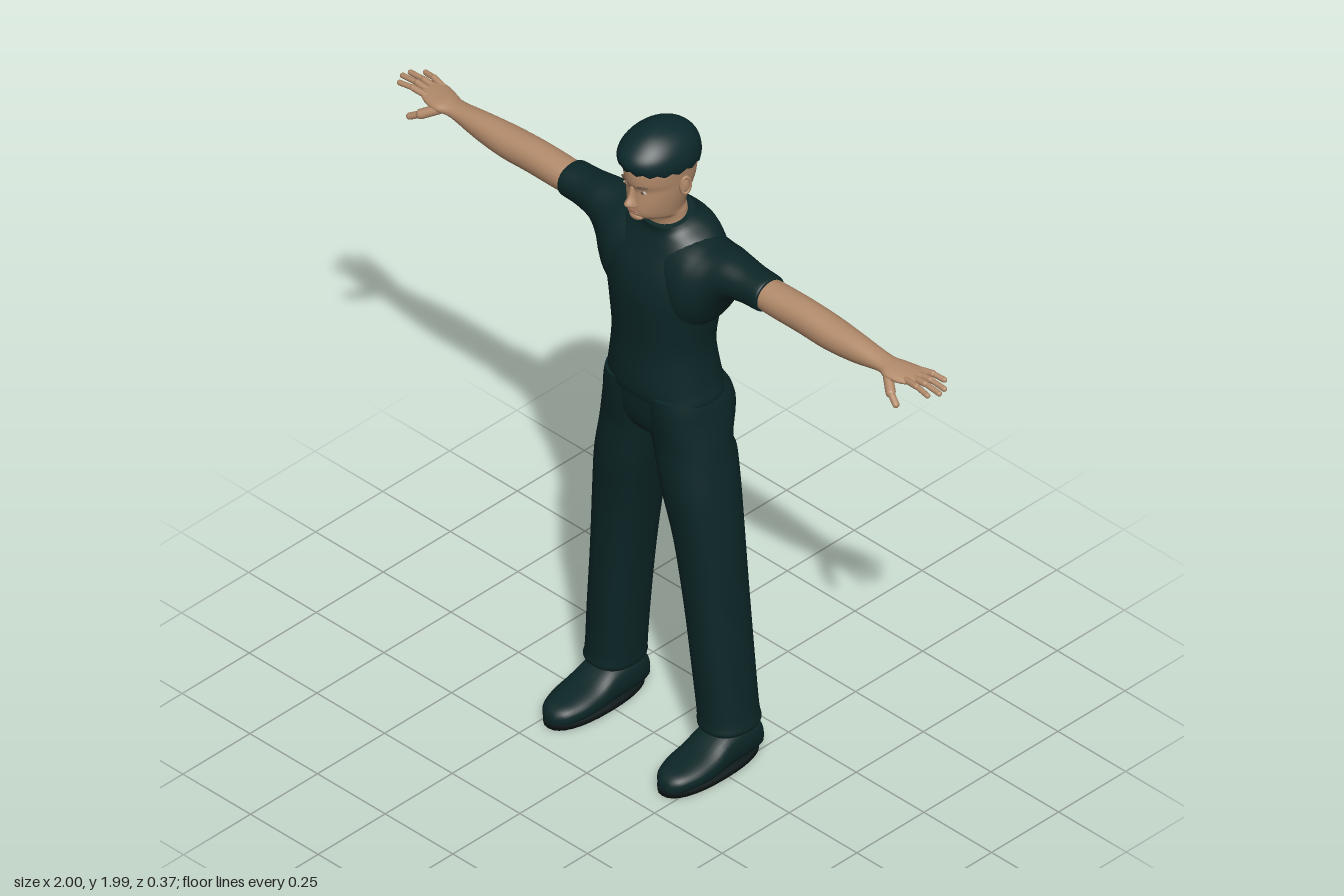
import * as THREE from 'three';

const mat = (name, color) => {
  const m = new THREE.MeshStandardMaterial({ color });
  m.name = name;
  return m;
};

// Smooth loft through sections [t, aMin, aMax, bMin, bMax].
// axis 'y': a = x, b = z; axis 'x': a = z, b = y; axis 'z': a = y, b = x
function loft(axis, sections, { power = 2, sides = 32, steps = 4, deform } = {}) {
  const rows = [];
  const n = sections.length - 1;
  const at = i => sections[Math.max(0, Math.min(n, i))];
  for (let i = 0; i < n; i++) {
    for (let k = 0; k < steps; k++) {
      const u = k / steps;
      rows.push(at(i).map((p1, c) => {
        const p0 = at(i - 1)[c], p2 = at(i + 1)[c], p3 = at(i + 2)[c];
        return p1 + 0.5 * u * (p2 - p0 + u * (2 * p0 - 5 * p1 + 4 * p2 - p3 + u * (3 * (p1 - p2) + p3 - p0)));
      }));
    }
  }
  rows.push(sections[n]);
  const pos = [], index = [];
  const put = (t, a, b, angle) => {
    const v = axis === 'y' ? new THREE.Vector3(a, t, b)
      : axis === 'x' ? new THREE.Vector3(t, b, a) : new THREE.Vector3(b, a, t);
    if (deform) deform(v, angle);
    pos.push(v.x, v.y, v.z);
  };
  const round = c => Math.sign(c) * Math.abs(c) ** (2 / power);
  for (const [t, a0, a1, b0, b1] of rows) {
    for (let j = 0; j < sides; j++) {
      const w = j / sides * Math.PI * 2;
      put(t, (a0 + a1) / 2 + (a1 - a0) / 2 * round(Math.sin(w)),
        (b0 + b1) / 2 + (b1 - b0) / 2 * round(Math.cos(w)), w);
    }
  }
  for (let i = 0; i < rows.length - 1; i++) {
    for (let j = 0; j < sides; j++) {
      const p = i * sides + j, q = i * sides + (j + 1) % sides;
      index.push(p, q, q + sides, p, q + sides, p + sides);
    }
  }
  // End caps
  [0, rows.length - 1].forEach((r, end) => {
    const [t, a0, a1, b0, b1] = rows[r];
    const c = pos.length / 3;
    put(t, (a0 + a1) / 2, (b0 + b1) / 2, 0);
    for (let j = 0; j < sides; j++) {
      const p = r * sides + j, q = r * sides + (j + 1) % sides;
      if (end) index.push(c, p, q); else index.push(c, q, p);
    }
  });
  const g = new THREE.BufferGeometry();
  g.setAttribute('position', new THREE.Float32BufferAttribute(pos, 3));
  g.setIndex(index);
  g.computeVertexNormals();
  return g;
}

// Capsule between two points
function capsule(from, to, radius) {
  const a = new THREE.Vector3(...from), d = new THREE.Vector3(...to).sub(a);
  const g = new THREE.CapsuleGeometry(radius, d.length(), 4, 10);
  g.applyQuaternion(new THREE.Quaternion().setFromUnitVectors(new THREE.Vector3(0, 1, 0), d.clone().normalize()));
  return g.translate(...a.addScaledVector(d, 0.5).toArray());
}

const ball = (x, y, z, rx, ry, rz) => new THREE.SphereGeometry(1, 16, 12).scale(rx, ry, rz).translate(x, y, z);

function mirror(geometry) {
  const g = geometry.clone().scale(-1, 1, 1);
  const ix = g.index.array;
  for (let i = 0; i < ix.length; i += 3) [ix[i], ix[i + 1]] = [ix[i + 1], ix[i]];
  return g;
}

export function createModel() {
  const model = new THREE.Group();
  model.name = 'figure';
  const cloth = mat('darkTealCloth', 0x0c2627);
  const hairMat = mat('darkTealHair', 0x0d2a2c);
  const soleMat = mat('blackSole', 0x0a1617);
  const skin = mat('skin', 0xb38b6b);
  const lipMat = mat('lips', 0x956a55);
  const eyeMat = mat('eyeWhite', 0xb9aa9c);
  const browMat = mat('brow', 0x5a4435);

  const add = (name, geometry, material) => {
    const m = new THREE.Mesh(geometry, material);
    m.name = name;
    model.add(m);
  };
  const addPair = (name, geometry, material) => {
    add(name + 'Left', geometry, material);
    add(name + 'Right', mirror(geometry), material);
  };
  // Left-right symmetric sections [y, halfWidth, back, front]
  const sym = list => list.map(([y, w, back, front]) => [y, -w, w, back, front]);

  // Shirt body, neckline lower at the front
  add('shirt', loft('y', sym([
    [1.145, 0.166, -0.16, 0.072], [1.155, 0.169, -0.172, 0.08], [1.2, 0.158, -0.165, 0.083],
    [1.3, 0.147, -0.152, 0.077], [1.4, 0.158, -0.162, 0.08], [1.48, 0.172, -0.172, 0.08],
    [1.55, 0.178, -0.176, 0.065], [1.61, 0.168, -0.174, 0.036], [1.65, 0.135, -0.162, 0.02],
    [1.675, 0.092, -0.13, 0.016], [1.695, 0.074, -0.112, 0.018],
  ]), {
    power: 2.3, sides: 48,
    deform: v => { v.y -= (v.z + 0.05) * 0.22 * THREE.MathUtils.smoothstep(v.y, 1.62, 1.69); },
  }), cloth);

  // Shoulders and short sleeves
  addPair('sleeve', loft('x', [
    [0.05, -0.16, 0.05, 1.36, 1.66], [0.12, -0.172, 0.055, 1.375, 1.655], [0.165, -0.165, 0.04, 1.41, 1.65],
    [0.2, -0.15, 0.018, 1.47, 1.652], [0.24, -0.132, 0.004, 1.525, 1.652], [0.3, -0.122, -0.006, 1.542, 1.645],
    [0.36, -0.118, -0.008, 1.546, 1.643], [0.367, -0.112, -0.014, 1.552, 1.637],
  ], { power: 2.2 }), cloth);

  // Trousers
  add('pelvis', loft('y', sym([
    [0.99, 0.04, -0.09, 0.0], [1.02, 0.11, -0.12, 0.045], [1.08, 0.165, -0.145, 0.067], [1.17, 0.16, -0.155, 0.076],
  ]), { power: 2.3 }), cloth);
  addPair('trouserLeg', loft('y', [
    [0.108, 0.145, 0.272, -0.14, 0.005], [0.122, 0.135, 0.286, -0.155, 0.018], [0.16, 0.132, 0.28, -0.152, 0.016],
    [0.3, 0.118, 0.268, -0.15, 0.022], [0.5, 0.095, 0.25, -0.15, 0.03], [0.7, 0.062, 0.236, -0.15, 0.04],
    [0.85, 0.028, 0.219, -0.158, 0.055], [0.95, 0.004, 0.203, -0.162, 0.056], [1.0, -0.008, 0.195, -0.153, 0.056],
    [1.08, -0.015, 0.18, -0.182, 0.067], [1.13, -0.015, 0.171, -0.176, 0.072], [1.17, -0.015, 0.158, -0.155, 0.074],
  ], { power: 2.3 }), cloth);

  // Shoes and soles
  addPair('shoe', loft('z', [
    [-0.158, 0.01, 0.05, 0.185, 0.235], [-0.148, 0.006, 0.1, 0.16, 0.26], [-0.1, 0.004, 0.125, 0.147, 0.27],
    [-0.02, 0.004, 0.115, 0.145, 0.274], [0.04, 0.004, 0.085, 0.144, 0.278], [0.1, 0.004, 0.07, 0.147, 0.275],
    [0.15, 0.004, 0.06, 0.163, 0.26], [0.172, 0.006, 0.046, 0.185, 0.24], [0.179, 0.01, 0.03, 0.2, 0.225],
  ], { power: 2.6, sides: 28 }), cloth);
  addPair('sole', loft('y', [
    [0, 0.145, 0.277, -0.162, 0.182], [0.018, 0.143, 0.279, -0.162, 0.183],
  ], { power: 2.3, steps: 1 }), soleMat);

  // Arms, tapering into flat palms
  addPair('arm', loft('x', [
    [0.33, -0.108, -0.016, 1.553, 1.635], [0.4, -0.112, -0.015, 1.548, 1.637], [0.5, -0.112, -0.018, 1.545, 1.638],
    [0.6, -0.112, -0.018, 1.543, 1.632], [0.7, -0.102, -0.025, 1.552, 1.626], [0.79, -0.095, -0.032, 1.572, 1.614],
    [0.83, -0.105, -0.02, 1.576, 1.612], [0.87, -0.116, -0.025, 1.579, 1.609], [0.9, -0.114, -0.038, 1.585, 1.607],
    [0.91, -0.105, -0.045, 1.59, 1.604],
  ], { power: 2.1, sides: 24 }), skin);

  // Fingers as [z at knuckle, z at tip, tip x], then the thumb
  [[-0.046, -0.036, 0.975], [-0.066, -0.064, 0.991], [-0.086, -0.088, 0.986], [-0.105, -0.116, 0.958]]
    .forEach(([z0, z1, x], i) => {
      const mid = [(0.885 + x) / 2, 1.602, (z0 + z1) / 2];
      addPair(`finger${i + 1}Base`, capsule([0.885, 1.597, z0], mid, 0.0095), skin);
      addPair(`finger${i + 1}Tip`, capsule(mid, [x, 1.598, z1], 0.0078), skin);
    });
  addPair('thumbBase', capsule([0.83, 1.588, -0.035], [0.868, 1.567, -0.007], 0.014), skin);
  addPair('thumbTip', capsule([0.868, 1.567, -0.007], [0.898, 1.55, 0.004], 0.01), skin);

  // Neck and head
  add('head', loft('y', sym([
    [1.63, 0.08, -0.11, 0.0], [1.68, 0.064, -0.102, 0.008], [1.712, 0.06, -0.1, 0.022], [1.724, 0.06, -0.1, 0.06],
    [1.74, 0.063, -0.104, 0.077], [1.765, 0.068, -0.115, 0.081], [1.8, 0.074, -0.13, 0.08],
    [1.825, 0.077, -0.136, 0.08], [1.85, 0.079, -0.138, 0.089], [1.9, 0.08, -0.135, 0.086], [1.95, 0.055, -0.09, 0.05],
  ]), {
    sides: 40,
    // Narrow the face toward the chin
    deform: v => { if (v.z > 0 && v.y > 1.715) v.x *= 1 - 1.6 * v.z * (1 - THREE.MathUtils.smoothstep(v.y, 1.72, 1.8)); },
  }), skin);
  add('nose', loft('y', sym([
    [1.77, 0.008, 0.065, 0.085], [1.775, 0.017, 0.06, 0.1], [1.784, 0.015, 0.06, 0.107],
    [1.805, 0.009, 0.06, 0.094], [1.835, 0.008, 0.06, 0.085],
  ]), { sides: 16 }), skin);
  add('upperLip', ball(0, 1.757, 0.08, 0.022, 0.004, 0.006), lipMat);
  add('lowerLip', ball(0, 1.75, 0.079, 0.019, 0.004, 0.006), lipMat);
  add('chin', ball(0, 1.733, 0.063, 0.024, 0.014, 0.017), skin);
  addPair('eye', ball(0.031, 1.823, 0.071, 0.012, 0.005, 0.004), eyeMat);
  addPair('iris', ball(0.031, 1.823, 0.0737, 0.0045, 0.0045, 0.003), browMat);
  addPair('brow', ball(0, 0, 0, 0.017, 0.003, 0.004).rotateY(0.4).translate(0.033, 1.842, 0.077), browMat);

  // Ears with a raised rim
  addPair('ear', ball(0, 0, 0, 0.008, 0.028, 0.016).rotateY(-0.3).translate(0.083, 1.822, -0.03), skin);
  addPair('earRim', new THREE.TorusGeometry(0.017, 0.004, 8, 20).scale(0.85, 1.5, 1)
    .rotateY(Math.PI / 2 - 0.35).translate(0.087, 1.823, -0.031), skin);

  // Cropped hair, lower at the back, with a ragged edge
  add('hair', loft('y', sym([
    [1.872, 0.082, -0.138, 0.09], [1.876, 0.088, -0.144, 0.1], [1.9, 0.092, -0.146, 0.107],
    [1.93, 0.087, -0.137, 0.098], [1.957, 0.07, -0.112, 0.075], [1.975, 0.045, -0.075, 0.046],
    [1.984, 0.018, -0.035, 0.016], [1.986, 0.003, -0.015, -0.005],
  ]), {
    power: 2.1, sides: 64,
    deform: (v, w) => {
      const low = 1 - THREE.MathUtils.smoothstep(v.y, 1.875, 1.97);
      const edge = 1 - THREE.MathUtils.smoothstep(v.y, 1.875, 1.89);
      v.y += 0.14 * (v.z + 0.01) * low + 0.004 * edge * Math.sin(w * 16);
    },
  }), hairMat);

  return model;
}
